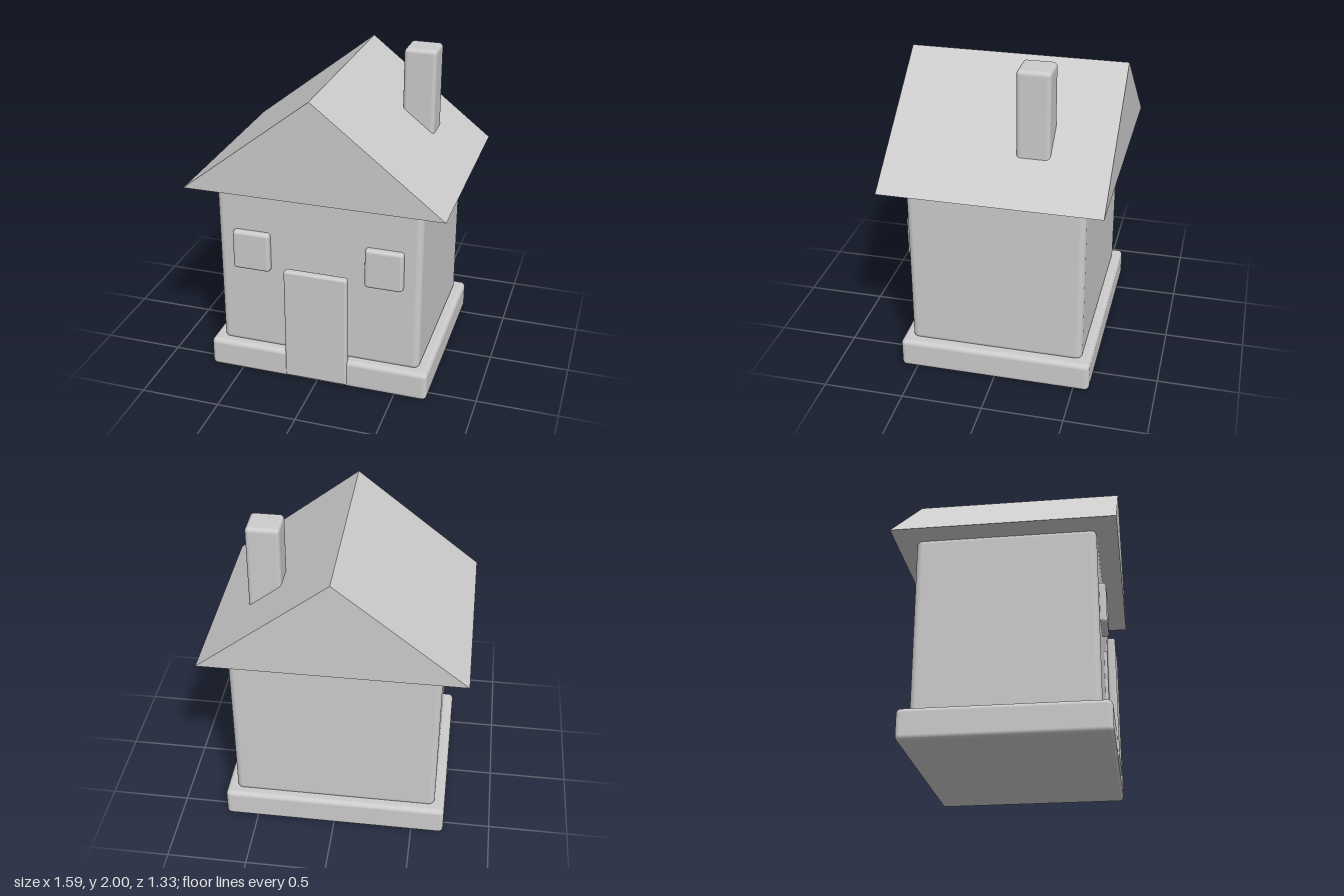
import * as THREE from 'three';
import { RoundedBoxGeometry } from 'three/addons/geometries/RoundedBoxGeometry.js';

export function createModel() {
  const house = new THREE.Group();
  house.name = 'house';
  const plaster = new THREE.MeshStandardMaterial({ color: 0xcccccc });
  plaster.name = 'light grey';

  // Rounded block given by its extents on each axis
  function block(name, [x0, x1], [y0, y1], [z0, z1], radius) {
    const geometry = new RoundedBoxGeometry(x1 - x0, y1 - y0, z1 - z0, 4, radius);
    const mesh = new THREE.Mesh(geometry, plaster);
    mesh.position.set((x0 + x1) / 2, (y0 + y1) / 2, (z0 + z1) / 2);
    mesh.name = name;
    house.add(mesh);
  }

  block('foundation', [-0.705, 0.705], [0, 0.19], [-0.6, 0.6], 0.03);
  block('walls', [-0.64, 0.64], [0.17, 1.29], [-0.54, 0.54], 0.04);
  block('chimney', [0.34, 0.54], [1.3, 2], [-0.305, -0.105], 0.025);

  // Door panel standing on a slightly lower backing
  block('doorBacking', [-0.17, 0.17], [0.1, 0.7], [0.5, 0.57], 0.01);
  block('door', [-0.2, 0.2], [0.02, 0.77], [0.56, 0.61], 0.015);

  // Pair of front windows
  block('leftWindow', [0.3, 0.535], [0.725, 0.98], [0.5, 0.58], 0.02);
  block('rightWindow', [-0.535, -0.3], [0.725, 0.98], [0.5, 0.58], 0.02);

  // Gabled roof prism
  const gable = new THREE.Shape([
    new THREE.Vector2(-0.795, 1.27),
    new THREE.Vector2(0.795, 1.27),
    new THREE.Vector2(0, 1.895),
  ]);
  const roofGeometry = new THREE.ExtrudeGeometry(gable, { depth: 1.33, bevelEnabled: false });
  roofGeometry.translate(0, 0, -0.665);
  const roof = new THREE.Mesh(roofGeometry, plaster);
  roof.name = 'roof';
  house.add(roof);

  return house;
}
